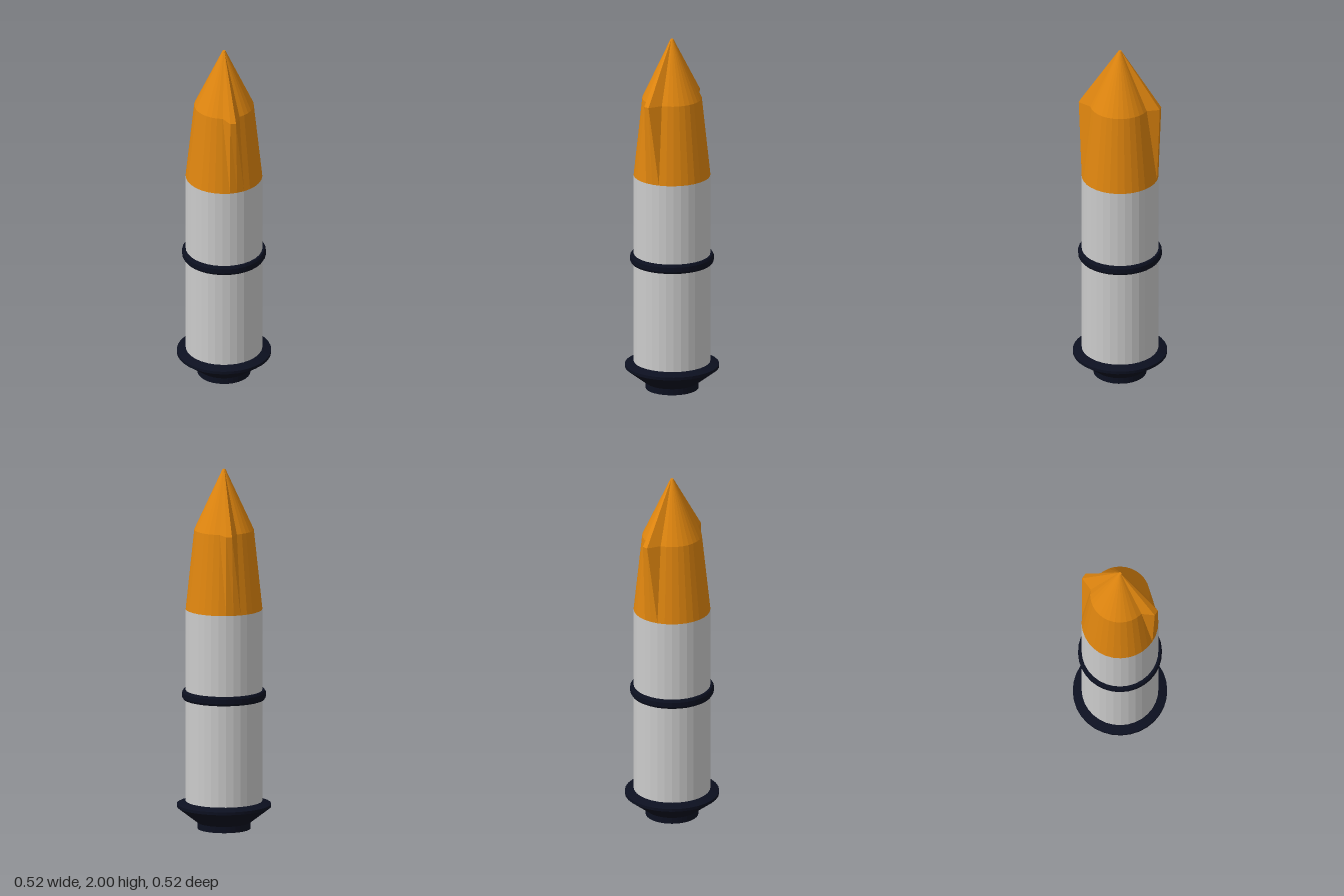
import * as THREE from 'three';

const SIDES = 32;
const orange = new THREE.MeshStandardMaterial({ color: 0xe0860f, flatShading: true });
const grey = new THREE.MeshStandardMaterial({ color: 0xcccccc, flatShading: true });
const navy = new THREE.MeshStandardMaterial({ color: 0x0c1020, flatShading: true });

// Turned part from [radius, height] pairs, listed from bottom to top
function turned(name, profile, material) {
  const points = profile.map(([r, y]) => new THREE.Vector2(r, y));
  const mesh = new THREE.Mesh(new THREE.LatheGeometry(points, SIDES), material);
  mesh.name = name;
  return mesh;
}

export function createModel() {
  const group = new THREE.Group();
  group.name = 'shell';

  // Base plug with a flared rim
  group.add(turned('base', [
    [0, 0], [0.145, 0], [0.145, 0.035], [0.258, 0.122], [0.258, 0.138], [0.21, 0.155], [0, 0.155],
  ], navy));

  // Straight cylindrical casing
  group.add(turned('casing', [[0, 0.15], [0.21, 0.15], [0.21, 1.222], [0, 1.222]], grey));

  // Bevelled band around the middle
  group.add(turned('band', [
    [0.208, 0.722], [0.222, 0.722], [0.229, 0.734], [0.229, 0.76], [0.222, 0.772], [0.208, 0.772],
  ], navy));

  // Pointed nose; a two-vertex ridge stands out at the shoulder, front and back
  const profile = [[0.21, 1.222], [0.163, 1.664], [0.008, 2], [0, 2]];
  const nose = turned('nose', profile, orange);
  const position = nose.geometry.attributes.position;
  const shoulder = 1;
  for (let i = 0; i <= SIDES; i++) {
    const step = i % (SIDES / 2);
    if (step > 1) continue;
    const index = i * profile.length + shoulder;
    position.setZ(index, Math.sign(position.getZ(index)) * 0.225);
  }
  nose.geometry.computeVertexNormals();
  group.add(nose);

  return group;
}
